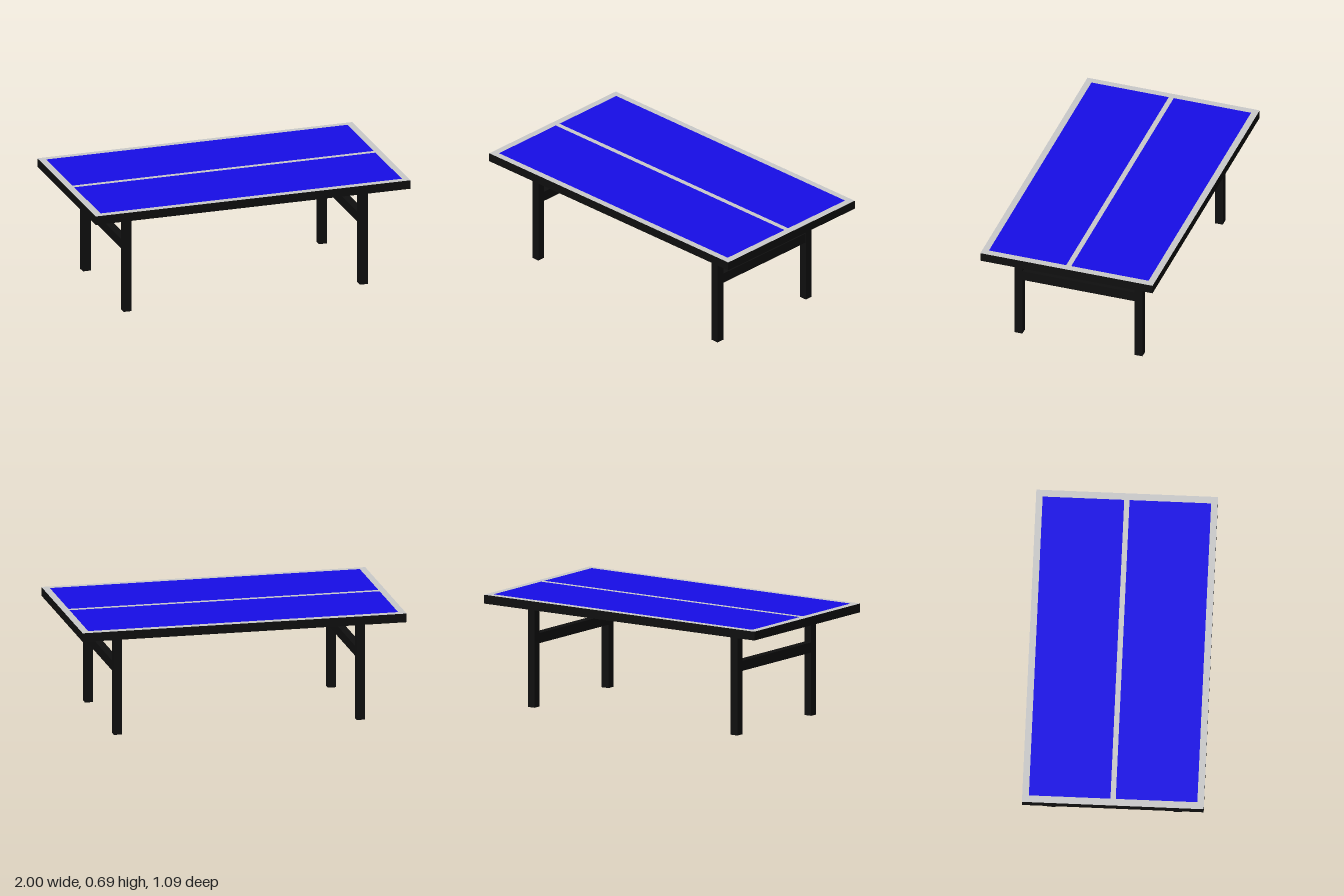
import * as THREE from 'three';

const W = 2, D = 1.094, TOP = 0.685, BOTTOM = 0.629;

export function createModel() {
  const group = new THREE.Group();
  const black = new THREE.MeshStandardMaterial({ color: 0x0f0f0f });
  const white = new THREE.MeshStandardMaterial({ color: 0xcccccc });
  const blue = new THREE.MeshStandardMaterial({ color: 0x170de8 });

  const add = (name, geometry, material, x, y, z) => {
    const mesh = new THREE.Mesh(geometry, material);
    mesh.name = name;
    mesh.position.set(x, y, z);
    group.add(mesh);
    return mesh;
  };
  // Flat sheet facing up (dir = 1) or down (dir = -1)
  const sheet = (name, w, d, material, y, z = 0, dir = 1) =>
    add(name, new THREE.PlaneGeometry(w, d).rotateX(-dir * Math.PI / 2), material, 0, y, z);

  // Table top: dark edged slab, white border and centre line, blue fields
  const slabTop = TOP - 0.002, slabBottom = BOTTOM + 0.001;
  add('tabletopEdge', new THREE.BoxGeometry(W, slabTop - slabBottom, D), black,
    0, (slabTop + slabBottom) / 2, 0);
  sheet('borderLines', W, D, white, TOP - 0.001);
  sheet('underside', W, D, blue, BOTTOM, 0, -1);
  for (const s of [-1, 1]) {
    sheet(s > 0 ? 'frontField' : 'backField', 1.914, 0.491, blue, TOP, s * 0.2615);
  }

  // Two trestles: a pair of square legs joined by a rail
  for (const sx of [-1, 1]) {
    const side = sx > 0 ? 'left' : 'right';
    for (const sz of [-1, 1]) {
      add(side + (sz > 0 ? 'FrontLeg' : 'BackLeg'),
        new THREE.BoxGeometry(0.05, 0.622, 0.05), black, sx * 0.75, 0.311, sz * 0.381);
    }
    add(side + 'Rail', new THREE.BoxGeometry(0.048, 0.062, 0.712), black, sx * 0.75, 0.419, 0);
  }
  return group;
}
